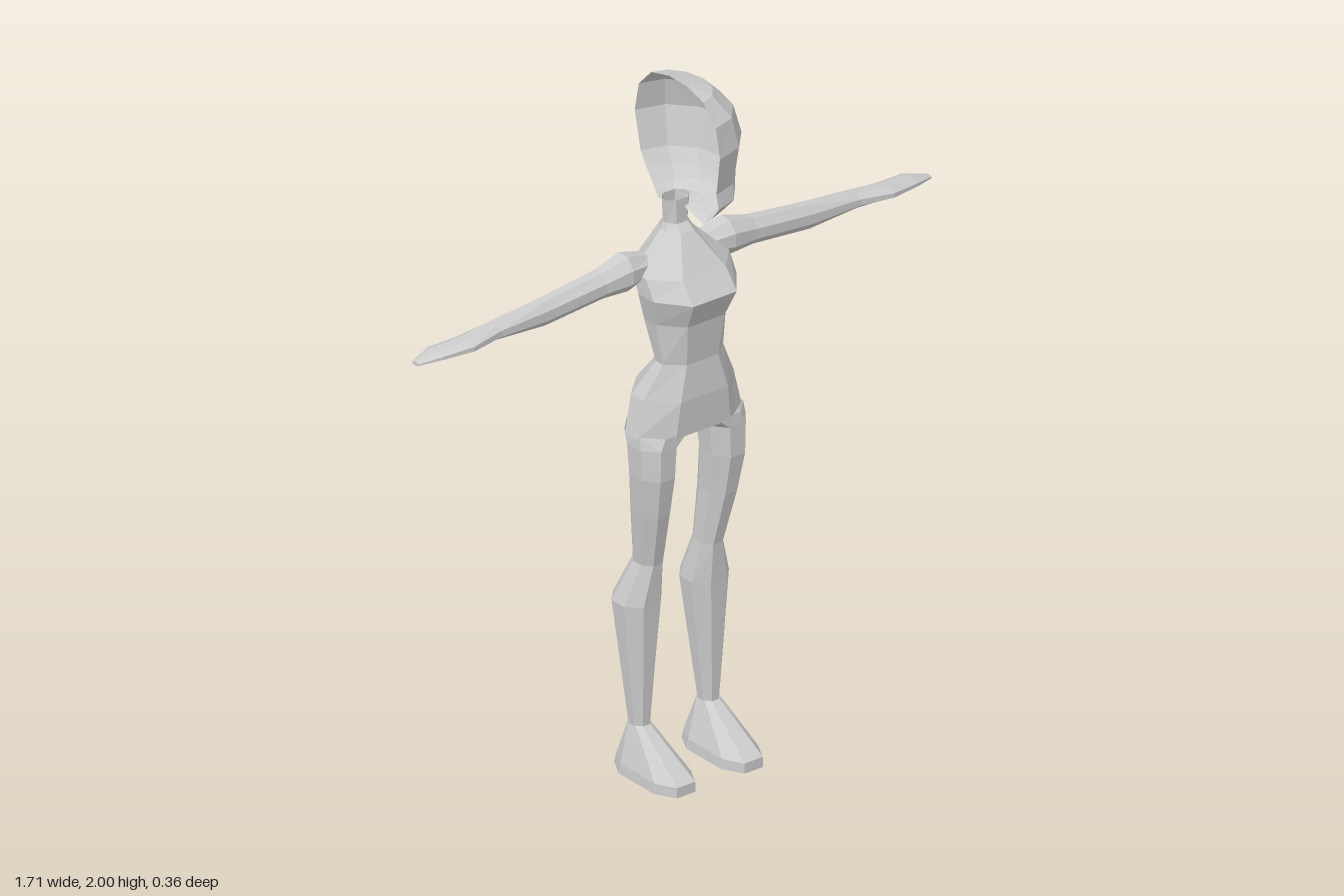
import * as THREE from 'three';

const grey = new THREE.MeshStandardMaterial({ color: 0xcccccc, flatShading: true, side: THREE.DoubleSide });
grey.name = 'plain grey';

// Skin a list of equal-length rings of [x, y, z] points
function loft(name, rings, { closed = true, capStart = false, capEnd = false } = {}) {
  const n = rings[0].length, index = [];
  const steps = closed ? n : n - 1;
  for (let i = 0; i < rings.length - 1; i++) {
    for (let j = 0; j < steps; j++) {
      const k = (j + 1) % n;
      const a = i * n + j, b = i * n + k, c = b + n, d = a + n;
      index.push(a, b, c, a, c, d);
    }
  }
  const last = (rings.length - 1) * n;
  for (let j = 1; j < n - 1; j++) {
    if (capStart) index.push(0, j + 1, j);
    if (capEnd) index.push(last, last + j, last + j + 1);
  }
  const geometry = new THREE.BufferGeometry();
  geometry.setAttribute('position', new THREE.Float32BufferAttribute(rings.flat(2), 3));
  geometry.setIndex(index);
  geometry.computeVertexNormals();
  const mesh = new THREE.Mesh(geometry, grey);
  mesh.name = name;
  return mesh;
}

// Eight-sided section: a box from (u0, v0) to (u1, v1) with cut corners
function octagon(u0, u1, v0, v1, cu = 0.3, cv = 0.28) {
  const a = (u1 - u0) * cu, b = (v1 - v0) * cv;
  return [
    [u1, v0 + b], [u1, v1 - b], [u1 - a, v1], [u0 + a, v1],
    [u0, v1 - b], [u0, v0 + b], [u0 + a, v0], [u1 - a, v0],
  ];
}

// Level ring for upright parts, and upright ring for the arms
const levelRing = ([y, x0, x1, zBack, zFront], cu, cv) =>
  octagon(zBack, zFront, x0, x1, cu, cv).map(([z, x]) => [x, y, z]);
const armRing = ([x, y0, y1, zBack, zFront]) =>
  octagon(y0, y1, zBack, zFront).map(([y, z]) => [x, y, z]);

function addPair(group, make, name) {
  const left = make('left' + name);
  const right = make('right' + name);
  right.scale.x = -1;
  group.add(left, right);
}

export function createModel() {
  const model = new THREE.Group();
  model.name = 'figure';

  // Torso from pelvis to the open neck: y, half width, back z, front z
  const torso = [
    [1.015, 0.175, -0.062, 0.11],
    [1.12, 0.15, -0.075, 0.115],
    [1.22, 0.1, -0.005, 0.107],
    [1.34, 0.118, -0.055, 0.122],
    [1.42, 0.138, -0.075, 0.16],
    [1.475, 0.138, -0.085, 0.115],
    [1.57, 0.042, -0.05, 0.042],
    [1.59, 0.034, -0.038, 0.02],
    [1.66, 0.04, -0.035, 0.02],
  ].map(([y, w, b, f]) => levelRing([y, -w, w, b, f], 0.36, 0.24));
  model.add(loft('torso', torso, { capStart: true }));

  // Legs: y, inner x, outer x, back z, front z
  const leg = [
    [0.13, 0.09, 0.14, -0.045, 0.015],
    [0.5, 0.05, 0.175, -0.095, 0.035],
    [0.62, 0.065, 0.135, -0.042, 0.045],
    [0.78, 0.068, 0.156, -0.032, 0.085],
    [0.9, 0.063, 0.171, -0.026, 0.108],
    [0.99, 0.055, 0.175, -0.035, 0.11],
    [1.025, 0.002, 0.172, -0.055, 0.109],
  ].map((r) => levelRing(r));
  addPair(model, (name) => loft(name, leg), 'Leg');

  // Wedge feet with a low flat toe
  const foot = [
    [0, 0.05, 0.175, -0.085, 0.18],
    [0.03, 0.052, 0.173, -0.077, 0.18],
    [0.14, 0.09, 0.14, -0.045, 0.015],
  ].map((r) => levelRing(r, 0.22, 0.25));
  addPair(model, (name) => loft(name, foot, { capStart: true, capEnd: true }), 'Foot');

  // Arms tapering into mitten hands: x, low y, high y, back z, front z
  const arm = [
    [0.08, 1.46, 1.51, -0.055, 0.015],
    [0.17, 1.436, 1.535, -0.058, 0.032],
    [0.25, 1.438, 1.512, -0.05, 0.022],
    [0.44, 1.42, 1.49, -0.043, 0.017],
    [0.6, 1.428, 1.473, -0.047, 0.014],
    [0.7, 1.43, 1.463, -0.045, 0.031],
    [0.79, 1.43, 1.453, -0.056, 0.014],
    [0.855, 1.427, 1.437, -0.035, -0.01],
  ].map(armRing);
  addPair(model, (name) => loft(name, arm, { capStart: true, capEnd: true }), 'Arm');

  // Hollow half head, open along the middle: y, width, back z, front z, side lift
  const head = [
    [1.64, 0.035, -0.045, 0.03, 0.005],
    [1.62, 0.07, -0.08, 0.11, 0.03],
    [1.65, 0.118, -0.1, 0.145, 0.015],
    [1.69, 0.132, -0.13, 0.175, 0],
    [1.73, 0.146, -0.155, 0.165, 0],
    [1.84, 0.165, -0.18, 0.18, 0],
    [1.925, 0.14, -0.163, 0.163, 0],
    [1.98, 0.085, -0.11, 0.11, 0],
    [2, 0.025, -0.035, 0.035, -0.005],
  ].map(([y, w, b, f, lift]) => Array.from({ length: 7 }, (_, i) => {
    const t = (i / 6) * Math.PI, s = i === 6 ? 0 : Math.sin(t);
    return [w * s, y + lift * s, (f + b) / 2 + ((f - b) / 2) * Math.cos(t)];
  }));
  model.add(loft('halfHead', head, { closed: false, capEnd: true }));

  return model;
}
